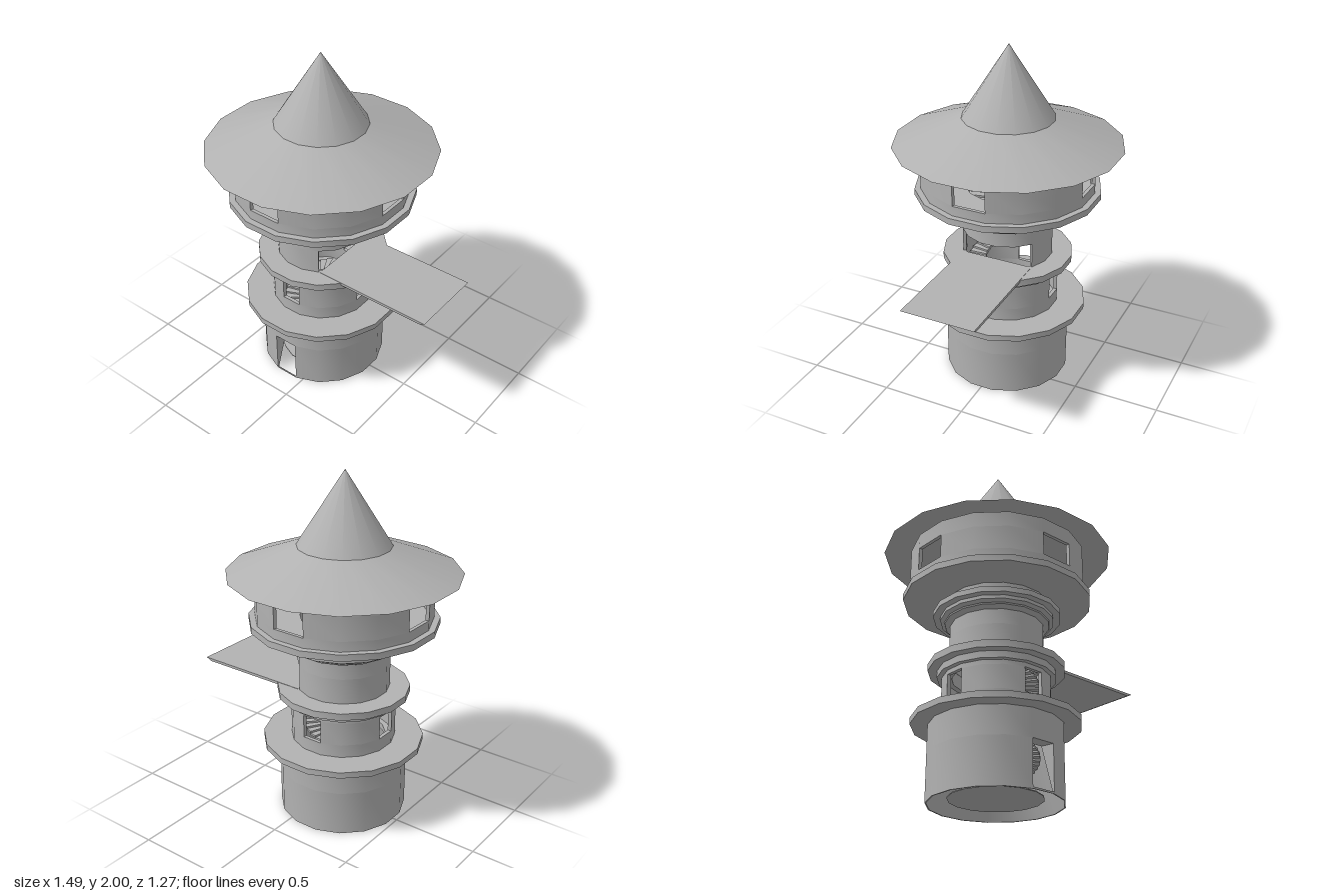
import * as THREE from 'three';
import { toCreasedNormals } from 'three/addons/utils/BufferGeometryUtils.js';

const SIDES = 16, STEP = Math.PI * 2 / SIDES;
const AXIS_X = -0.113;
const FLAT = Math.cos(STEP / 2); // facet distance / corner radius

export function createModel() {
  const model = new THREE.Group();
  model.name = 'tower';
  const stone = new THREE.MeshStandardMaterial({ color: 0xb2b2b2, side: THREE.DoubleSide });
  stone.name = 'grey stone';

  const tower = new THREE.Group();
  tower.name = 'towerBody';
  tower.position.x = AXIS_X;
  model.add(tower);

  function add(name, geometry, parent = tower) {
    const mesh = new THREE.Mesh(geometry, stone);
    mesh.name = name;
    parent.add(mesh);
    return mesh;
  }

  // Corner of the 16-sided plan; facet 0 faces +z, facet 4 faces +x.
  const corner = (r, i) => {
    const a = (i - 0.5) * STEP;
    return new THREE.Vector2(r / FLAT * Math.sin(a), -r / FLAT * Math.cos(a));
  };
  const arc = (r, first, count) =>
    Array.from({ length: count + 1 }, (_, i) => corner(r, first + i));

  // Solid wall running over some facets; the inner face may taper upward.
  function wall(name, rOut, rIn, y0, y1, first = 0, count = SIDES, rInTop = rIn) {
    let shape;
    if (count === SIDES) {
      shape = new THREE.Shape(arc(rOut, 0, SIDES - 1));
      shape.holes.push(new THREE.Path(arc(rIn, 0, SIDES - 1).reverse()));
    } else {
      shape = new THREE.Shape([...arc(rOut, first, count), ...arc(rIn, first, count).reverse()]);
    }
    const geo = new THREE.ExtrudeGeometry(shape, { depth: y1 - y0, bevelEnabled: false });
    geo.rotateX(-Math.PI / 2);
    geo.translate(0, y0, 0);
    const p = geo.attributes.position;
    const middle = (rOut + rIn) / 2 / FLAT;
    for (let i = 0; i < p.count; i++) {
      const x = p.getX(i), z = p.getZ(i);
      if (Math.hypot(x, z) < middle && p.getY(i) > (y0 + y1) / 2) {
        p.setX(i, x * rInTop / rIn);
        p.setZ(i, z * rInTop / rIn);
      }
    }
    geo.computeVertexNormals();
    add(name, toCreasedNormals(geo, 0.6));
  }

  // Storey with one open facet on each of the four sides.
  function windowStorey(name, rOut, rIn, y0, y1, sill, head) {
    wall(name + 'LowerWall', rOut, rIn, y0, sill);
    for (let k = 0; k < 4; k++) wall(name + 'Pier', rOut, rIn, sill, head, k * 4 + 1, 3);
    wall(name + 'UpperWall', rOut, rIn, head, y1);
  }

  // Turned surface sharing the same facets.
  function turned(name, points) {
    const geo = new THREE.LatheGeometry(
      points.map(([r, y]) => new THREE.Vector2(r / FLAT, y)), SIDES, STEP / 2);
    add(name, toCreasedNormals(geo, 0.45));
  }

  // Ground storey with a door in the front facet
  wall('doorSill', 0.359, 0.355, 0, 0.01, 0, 1);
  wall('groundWall', 0.359, 0.352, 0, 0.26, 1, 15, 0.285);
  wall('groundUpperWall', 0.359, 0.285, 0.26, 0.42, 0, SIDES, 0.25);
  turned('groundFloor', [[0, 0.03], [0.25, 0.03], [0.25, 0.035], [0, 0.035]]);
  wall('lowerLedge', 0.452, 0.24, 0.42, 0.455);

  // Second storey
  windowStorey('secondStorey', 0.293, 0.272, 0.455, 0.69, 0.53, 0.665);
  wall('balconyMoulding', 0.32, 0.24, 0.69, 0.728);
  wall('balconyLedge', 0.37, 0.24, 0.728, 0.768);

  // Third storey, open over five facets toward the landing deck
  wall('thirdStoreyWall', 0.257, 0.238, 0.768, 0.915, 7, 11);
  wall('thirdStoreyUpperWall', 0.257, 0.238, 0.915, 1.02);
  turned('neckMoulding', [[0.257, 1.0], [0.287, 1.015], [0.29, 1.023], [0.312, 1.035],
    [0.312, 1.055], [0.24, 1.055]]);
  wall('neckLedge', 0.352, 0.24, 1.055, 1.086);
  wall('neckWall', 0.28, 0.24, 1.086, 1.147);

  // Top room and roof
  wall('topLedge', 0.519, 0.24, 1.147, 1.184);
  windowStorey('topRoom', 0.485, 0.465, 1.184, 1.462, 1.24, 1.375);
  turned('roofSkirt', [[0.635, 1.44], [0.256, 1.59]]);
  turned('spire', [[0.256, 1.59], [0, 2]]);

  // Landing deck with a bevelled far end
  const deck = new THREE.Shape([
    new THREE.Vector2(0.04, 0.754), new THREE.Vector2(0.71, 0.754),
    new THREE.Vector2(0.745, 0.77), new THREE.Vector2(0.04, 0.77)]);
  const deckGeo = new THREE.ExtrudeGeometry(deck, { depth: 0.436, bevelEnabled: false });
  deckGeo.translate(0, 0, -0.218);
  add('landingDeck', deckGeo, model);

  // Spiral stair climbing along the inner wall
  const stair = new THREE.Group();
  stair.name = 'spiralStair';
  tower.add(stair);
  const treadGeo = new THREE.BoxGeometry(0.042, 0.012, 0.1);
  for (let i = 0; i < 98; i++) {
    const turn = -1 + i * 0.17, a = Math.PI - turn;
    const tread = add('stairTread', treadGeo, stair);
    tread.position.set(0.182 * Math.sin(a), 0.1 + turn * 0.064, 0.182 * Math.cos(a));
    tread.rotation.y = a;
  }
  return model;
}
